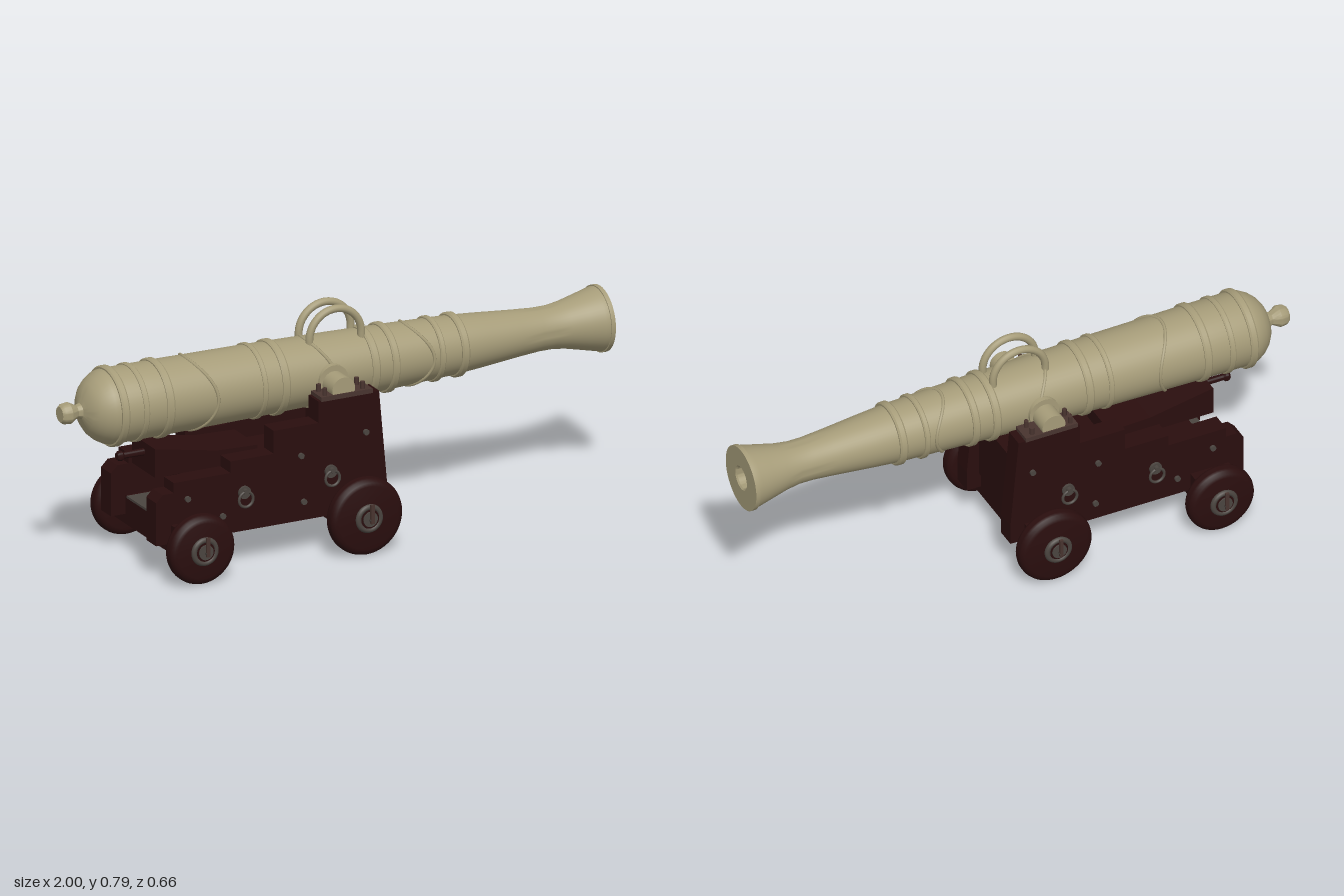
import * as THREE from 'three';
import { toCreasedNormals } from 'three/addons/utils/BufferGeometryUtils.js';

const mat = (name, color) => Object.assign(new THREE.MeshStandardMaterial({ color }), { name });

export function createModel() {
  const bronze = mat('bronze', 0xa69c79);
  const wood = mat('dark red wood', 0x2a0e0e);
  const iron = mat('iron', 0x4b4540);
  const strapIron = mat('brown iron', 0x49342f);
  const model = new THREE.Group();
  model.name = 'cannon';
  const AXIS = 0.565;

  function add(parent, name, geometry, material, x = 0, y = 0, z = 0) {
    const mesh = new THREE.Mesh(geometry, material);
    mesh.name = name;
    mesh.position.set(x, y, z);
    parent.add(mesh);
    return mesh;
  }
  const box = (w, h, d) => new THREE.BoxGeometry(w, h, d);
  // Turned part: points are [position along axis, radius]
  const turned = (points, sides = 48) => toCreasedNormals(
    new THREE.LatheGeometry(points.map(([a, r]) => new THREE.Vector2(r, a)), sides), 0.6);
  const alongX = (points) => turned(points).rotateZ(-Math.PI / 2);
  const alongZ = (points, sides) => turned(points, sides).rotateX(Math.PI / 2);
  const rod = (r, length, sides = 24) => new THREE.CylinderGeometry(r, r, length, sides).rotateX(Math.PI / 2);

  // Barrel with breech dome, flared muzzle and bore
  const barrel = new THREE.Group();
  barrel.name = 'barrel';
  barrel.position.y = AXIS;
  model.add(barrel);
  const body = [
    [-1, 0], [-1, 0.026], [-0.99, 0.034], [-0.968, 0.037], [-0.955, 0.03], [-0.94, 0.022], [-0.925, 0.026],
    [-0.918, 0.045], [-0.91, 0.068], [-0.895, 0.09], [-0.875, 0.108], [-0.85, 0.122], [-0.83, 0.127],
    [-0.62, 0.126], [-0.3, 0.122], [0, 0.115], [0.2, 0.109], [0.45, 0.099],
    [0.55, 0.091], [0.68, 0.079], [0.76, 0.073], [0.81, 0.073], [0.86, 0.08], [0.92, 0.094],
    [0.97, 0.106], [0.985, 0.109], [0.985, 0.113], [1, 0.113], [1, 0.043], [0.995, 0.038], [0.6, 0.038], [0.6, 0]];
  add(barrel, 'barrelBody', alongX(body), bronze);
  const radiusAt = (x) => {
    const i = body.findIndex((p) => p[0] > x);
    const [a, b] = [body[i - 1], body[i]];
    return THREE.MathUtils.lerp(a[1], b[1], (x - a[0]) / (b[0] - a[0]));
  };

  // Raised bands: [centre, half width, height]
  for (const [x, w, h] of [[-0.82, 0.014, 0.009], [-0.742, 0.01, 0.006], [-0.652, 0.014, 0.008],
    [-0.3, 0.009, 0.006], [-0.222, 0.014, 0.008], [0.115, 0.014, 0.009], [0.19, 0.013, 0.009],
    [0.366, 0.01, 0.008], [0.452, 0.014, 0.01]]) {
    const r = radiusAt(x);
    add(barrel, 'barrelBand', alongX([[-w, r - 0.003], [-w, r + h * 0.5], [-w * 0.6, r + h],
      [w * 0.6, r + h], [w, r + h * 0.5], [w, r - 0.003]]), bronze, x);
  }

  // Wavy mouldings running round the barrel
  for (const x of [-0.508, -0.07, 0.302]) {
    const points = [];
    for (let i = 0; i < 32; i++) {
      const t = (i / 32) * Math.PI * 2;
      const px = x - 0.032 * Math.cos(2 * t);
      const r = radiusAt(px);
      points.push(new THREE.Vector3(px, r * Math.cos(t), r * Math.sin(t)));
    }
    add(barrel, 'wavyMoulding', new THREE.TubeGeometry(new THREE.CatmullRomCurve3(points, true), 96, 0.006, 6, true), bronze);
  }

  // Trunnions and lifting handles
  add(barrel, 'trunnion', rod(0.042, 0.39, 32), bronze, -0.05, -0.01);
  add(barrel, 'trunnionShoulder', rod(0.054, 0.25, 32), bronze, -0.05, -0.002);
  for (const s of [-1, 1]) {
    add(barrel, 'liftingHandle', new THREE.TorusGeometry(0.096, 0.013, 12, 32, Math.PI), bronze, 0, 0.118, s * 0.038);
    for (const e of [-1, 1]) add(barrel, 'handleFoot', new THREE.CylinderGeometry(0.013, 0.013, 0.02, 12), bronze, e * 0.096, 0.109, s * 0.038);
  }

  // Carriage cheeks with stepped tops
  const carriage = new THREE.Group();
  carriage.name = 'carriage';
  model.add(carriage);
  const cheekShape = new THREE.Shape([
    [-0.745, 0.125], [0.11, 0.125], [0.11, 0.2], [0.08, 0.53], [-0.145, 0.53], [-0.145, 0.455], [-0.31, 0.455],
    [-0.31, 0.375], [-0.47, 0.375], [-0.47, 0.335], [-0.68, 0.335], [-0.68, 0.3], [-0.72, 0.3], [-0.745, 0.275],
  ].map(([x, y]) => new THREE.Vector2(x, y)));
  const cheek = new THREE.ExtrudeGeometry(cheekShape, { depth: 0.07, bevelEnabled: false }).translate(0, 0, -0.035);

  // Eye ring hanging from a bolt, used on both cheeks
  function ringBolt(x, y, s) {
    add(carriage, 'ringPlate', rod(0.022, 0.01), iron, x, y + 0.015, s * 0.2);
    add(carriage, 'ringBolt', rod(0.009, 0.026, 12), iron, x, y + 0.022, s * 0.205);
    add(carriage, 'tackleRing', new THREE.TorusGeometry(0.026, 0.005, 8, 24), iron, x, y - 0.006, s * 0.212);
  }
  for (const s of [-1, 1]) {
    add(carriage, 'cheek', cheek, wood, 0, 0, s * 0.161);
    ringBolt(-0.42, 0.245, s);
    ringBolt(-0.1, 0.265, s);
    for (const [x, y] of [[-0.21, 0.352], [0.03, 0.395], [-0.63, 0.272], [-0.2, 0.19], [-0.5, 0.19]])
      add(carriage, 'cheekBolt', rod(0.01, 0.016, 12), iron, x, y, s * 0.198);
    // Trunnion strap with upright lugs
    add(carriage, 'trunnionStrap', box(0.19, 0.016, 0.075), strapIron, -0.04, 0.535, s * 0.162);
    for (const x of [-0.115, 0.025])
      for (const z of [0.141, 0.184])
        add(carriage, 'strapBolt', new THREE.CylinderGeometry(0.008, 0.008, 0.03, 10), strapIron, x, 0.553, s * z);
  }

  // Cross members, bed and elevating wedge
  add(carriage, 'frontTransom', box(0.09, 0.225, 0.26), wood, 0.02, 0.2925, 0);
  add(carriage, 'bed', box(0.6, 0.035, 0.26), wood, -0.3, 0.3, 0);
  add(carriage, 'rearPlate', box(0.09, 0.008, 0.2), iron, -0.655, 0.194, 0);
  const wedge = new THREE.Shape([[-0.69, 0.318], [-0.31, 0.318], [-0.31, 0.37], [-0.46, 0.375], [-0.69, 0.418]]
    .map(([x, y]) => new THREE.Vector2(x, y)));
  add(carriage, 'elevatingWedge', new THREE.ExtrudeGeometry(wedge, { depth: 0.164, bevelEnabled: false }), wood, 0, 0, -0.082);
  add(carriage, 'wedgeHandle', alongX([[-0.1, 0], [-0.1, 0.012], [-0.093, 0.017], [-0.083, 0.017],
    [-0.076, 0.011], [0, 0.012]]), wood, -0.689, 0.383, 0);

  // Axles, wheels and hubs
  for (const [name, x, r] of [['front', -0.012, 0.133], ['rear', -0.62, 0.12]]) {
    const unit = new THREE.Group();
    unit.name = name + 'Axle';
    unit.position.set(x, r, 0);
    model.add(unit);
    add(unit, 'axleBeam', box(0.14, 0.1, 0.456), wood, 0, 0.14 - r, 0);
    add(unit, 'axleRod', rod(0.034, 0.62), wood);
    const wheel = alongZ([[-0.03, 0], [-0.03, r - 0.024], [-0.027, r - 0.012], [-0.018, r - 0.003], [-0.008, r],
      [0.008, r], [0.018, r - 0.003], [0.027, r - 0.012], [0.03, r - 0.024], [0.03, 0]]);
    for (const s of [-1, 1]) {
      add(unit, 'wheel', wheel, wood, 0, 0, s * 0.269);
      add(unit, 'hubRing', new THREE.TorusGeometry(0.04, 0.01, 8, 32), iron, 0, 0, s * 0.303);
      add(unit, 'hubCap', rod(0.026, 0.014), iron, 0, 0, s * 0.308);
      add(unit, 'pinStem', rod(0.007, 0.03, 10), iron, 0, 0, s * 0.315);
      add(unit, 'linchpin', box(0.012, 0.066, 0.009), strapIron, 0, 0.022, s * 0.326);
    }
  }
  return model;
}
